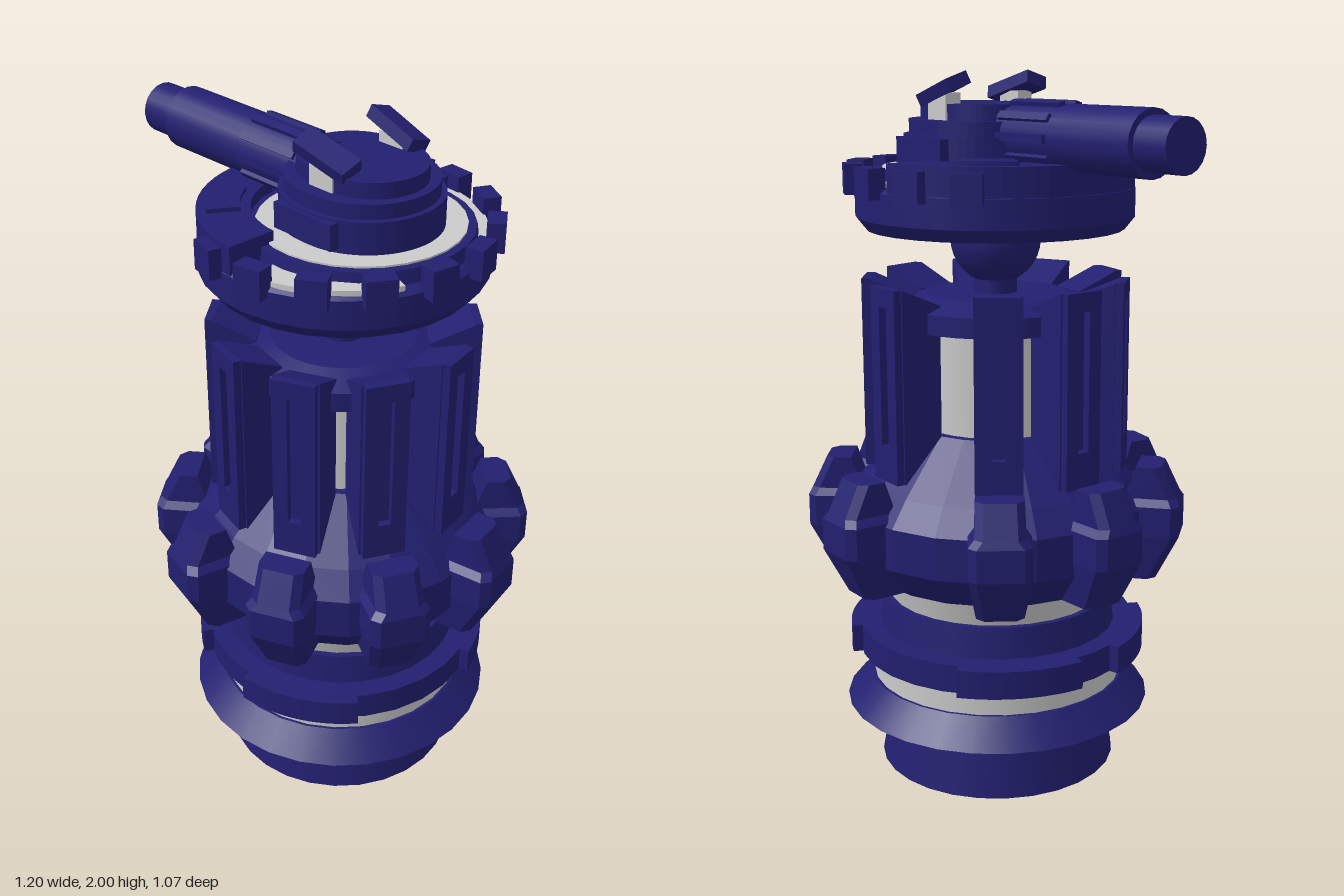
import * as THREE from 'three';

const CX = 0.065; // vertical axis of the tower
const rad = THREE.MathUtils.degToRad;
const blue = new THREE.MeshStandardMaterial({ color: 0x221f70 });
const blueFlat = new THREE.MeshStandardMaterial({ color: 0x221f70, flatShading: true });
const grey = new THREE.MeshStandardMaterial({ color: 0xcccccc });

function add(parent, name, geo, mat, x = 0, y = 0, z = 0) {
  const m = new THREE.Mesh(geo, mat);
  m.name = name;
  m.position.set(x, y, z);
  parent.add(m);
  return m;
}

// Round band from y0 to y1
function band(parent, name, r0, r1, y0, y1, mat = blue, x = 0, z = 0) {
  return add(parent, name, new THREE.CylinderGeometry(r1, r0, y1 - y0, 28), mat, x, (y0 + y1) / 2, z);
}

// Flat shape in the x/z plane raised from y0 to y1
function slab(parent, name, shape, y0, y1, mat = blueFlat) {
  const g = new THREE.ExtrudeGeometry(shape, { depth: y1 - y0, bevelEnabled: false, curveSegments: 14 });
  g.rotateX(Math.PI / 2);
  return add(parent, name, g, mat, 0, y1);
}

// Annular sector, angles in degrees from +x towards +z
function sector(parent, name, r0, r1, a0, a1, y0, y1, mat) {
  const s = new THREE.Shape();
  s.absarc(0, 0, r1, rad(a0), rad(a1), false);
  s.absarc(0, 0, r0, rad(a1), rad(a0), true);
  return slab(parent, name, s, y0, y1, mat);
}

// Group whose local +x points outward at the given angle
function spoke(parent, name, deg) {
  const g = new THREE.Group();
  g.name = name;
  g.rotation.y = -rad(deg);
  parent.add(g);
  return g;
}

// Lug: chamfered cross-sections stacked in y, [y, inner, outer, half width]
function lugGeometry() {
  const levels = [[0.59, 0.34, 0.475, 0.065], [0.72, 0.38, 0.54, 0.085], [0.81, 0.38, 0.54, 0.085],
    [0.83, 0.385, 0.53, 0.068], [0.92, 0.415, 0.487, 0.065]];
  const pos = [], idx = [], n = 6, c = 0.022;
  for (const [y, i, o, w] of levels) {
    for (const [x, z] of [[i, -w], [o - c, -w], [o, c - w], [o, w - c], [o - c, w], [i, w]]) pos.push(x, y, z);
  }
  for (let l = 0; l < levels.length - 1; l++) {
    for (let k = 0; k < n; k++) {
      const a = l * n + k, b = l * n + (k + 1) % n;
      idx.push(a, a + n, b, b, a + n, b + n);
    }
  }
  const t = (levels.length - 1) * n;
  for (let k = 1; k < n - 1; k++) idx.push(0, k, k + 1, t, t + k + 1, t + k);
  const g = new THREE.BufferGeometry();
  g.setAttribute('position', new THREE.Float32BufferAttribute(pos, 3));
  g.setIndex(idx);
  const flat = g.toNonIndexed();
  flat.computeVertexNormals();
  return flat;
}

// Fin backing: side profile given width
function finGeometry() {
  const s = new THREE.Shape([[0.23, 0.9], [0.35, 0.9], [0.35, 1.437], [0.23, 1.385]]
    .map(p => new THREE.Vector2(...p)));
  return new THREE.ExtrudeGeometry(s, { depth: 0.13, bevelEnabled: false }).translate(0, 0, -0.065);
}

// Fin face plate with a tall slot
function finPlateGeometry() {
  const rect = (w, a, b, T) => new T([[-w, a], [w, a], [w, b], [-w, b]].map(p => new THREE.Vector2(...p)));
  const s = rect(0.06, 0.9, 1.437, THREE.Shape);
  s.holes.push(rect(0.018, 1.0, 1.385, THREE.Path));
  return new THREE.ExtrudeGeometry(s, { depth: 0.022, bevelEnabled: false }).rotateY(Math.PI / 2).translate(0.35, 0, 0);
}

function capsule(half, r) {
  const s = new THREE.Shape();
  s.absarc(half, 0, r, -Math.PI / 2, Math.PI / 2, false);
  s.absarc(-half, 0, r, Math.PI / 2, Math.PI * 1.5, false);
  return s;
}

function buildBase(root) {
  const g = new THREE.Group();
  g.name = 'base';
  root.add(g);
  band(g, 'foot', 0.347, 0.312, 0, 0.19);
  band(g, 'footFlange', 0.447, 0.375, 0.19, 0.267);
  band(g, 'lowerGreyBand', 0.367, 0.367, 0.26, 0.35, grey);
  band(g, 'clampRing', 0.405, 0.405, 0.345, 0.425);
  for (const a of [-35, 68, 148, 215]) sector(g, 'clampPad', 0.38, 0.432, a, a + 48, 0.345, 0.425);
  band(g, 'waist', 0.347, 0.333, 0.42, 0.512);
  band(g, 'upperGreyBand', 0.315, 0.34, 0.512, 0.6, grey);
}

function buildColumn(root) {
  const g = new THREE.Group();
  g.name = 'column';
  root.add(g);
  const profile = [[0, 0.59], [0.37, 0.59], [0.44, 0.68], [0.44, 0.8], [0.385, 0.87], [0.24, 1.02], [0, 1.02]];
  add(g, 'lugRing', new THREE.LatheGeometry(profile.map(p => new THREE.Vector2(...p)), 20), blueFlat);
  band(g, 'greyCore', 0.215, 0.215, 1.0, 1.33, grey);
  band(g, 'collar', 0.28, 0.28, 1.31, 1.365);
  band(g, 'collarTop', 0.28, 0.2, 1.365, 1.395);
  band(g, 'neck', 0.06, 0.06, 1.38, 1.5);
  add(g, 'ballJoint', new THREE.SphereGeometry(0.127, 24, 16), blue, 0, 1.545);
  const lug = lugGeometry(), fin = finGeometry(), plate = finPlateGeometry();
  // Nine stations with a wider gap at the rear
  for (let i = 0; i < 9; i++) {
    const s = spoke(g, 'station', -57 + 38 * i);
    add(s, 'lug', lug, blueFlat);
    add(s, 'fin', fin, blueFlat);
    add(s, 'finPlate', plate, blueFlat);
  }
}

function buildHead(root) {
  const g = new THREE.Group();
  g.name = 'head';
  root.add(g);
  band(g, 'bowlBottom', 0.36, 0.388, 1.575, 1.61);
  band(g, 'bowl', 0.388, 0.388, 1.61, 1.69);
  band(g, 'deck', 0.388, 0.373, 1.69, 1.7);
  // Rim teeth on the open side
  for (let i = 0; i < 11; i++) {
    const s = spoke(g, 'rimTooth', -102 + 23.5 * i);
    add(s, 'tooth', new THREE.BoxGeometry(0.05, 0.082, 0.08), blueFlat, 0.393, 1.715, 0);
  }
  // Raised armour on the gun side with two inset panels
  sector(g, 'raisedDeck', 0.243, 0.385, 122, 295, 1.68, 1.77);
  for (const a of [168, 252]) sector(g, 'deckPanel', 0.27, 0.36, a - 14, a + 14, 1.76, 1.782);
  // Light crescents, cut on the inside by the off-centre ring
  sector(g, 'rightCrescent', 0.24, 0.375, -55, 4, 1.69, 1.712, grey);
  sector(g, 'frontCrescent', 0.27, 0.375, 52, 112, 1.69, 1.712, grey);
  band(g, 'innerRing', 0.305, 0.298, 1.69, 1.738, blue, 0.05, 0.02);
  band(g, 'greyDisc', 0.275, 0.275, 1.72, 1.743, grey, 0.05, 0.02);
}

function buildTurret(root) {
  const g = spoke(root, 'turret', 209.5);
  g.position.set(0.05, 0, 0.018);
  slab(g, 'turretBody', capsule(0.015, 0.205), 1.74, 1.83);
  slab(g, 'turretStep', capsule(0.015, 0.19), 1.83, 1.87);
  slab(g, 'turretCap', capsule(0.035, 0.145), 1.87, 1.913);
  for (const s of [1, -1]) {
    // Sloped cover over a light block on each flank
    add(g, 'flankBlock', new THREE.BoxGeometry(0.08, 0.085, 0.05), grey, 0, 1.9, s * 0.125);
    const cover = add(g, 'flankCover', new THREE.BoxGeometry(0.165, 0.035, 0.07), blueFlat, 0, 1.951, s * 0.128);
    cover.rotation.set(s * 0.3, 0, 0.3);
    add(g, 'shoulder', new THREE.BoxGeometry(0.2, 0.07, 0.05), blueFlat, 0, 1.79, s * 0.19);
  }
  // Gun pointing along local +x
  const gun = new THREE.Group();
  gun.name = 'gun';
  gun.position.set(0, 1.833, -0.003);
  g.add(gun);
  const tube = (name, r, x0, x1) =>
    add(gun, name, new THREE.CylinderGeometry(r, r, x1 - x0, 20).rotateZ(Math.PI / 2), blue, (x0 + x1) / 2);
  tube('barrelSleeve', 0.087, 0.1, 0.675);
  tube('muzzle', 0.07, 0.66, 0.785);
  for (let i = 0; i < 10; i++) {
    const a = i / 10 * Math.PI * 2;
    add(gun, 'barrelRib', new THREE.BoxGeometry(0.2, 0.025, 0.022), blueFlat,
      0.27, Math.sin(a) * 0.084, Math.cos(a) * 0.084).rotation.x = Math.PI / 2 - a;
  }
}

export function createModel() {
  const model = new THREE.Group();
  model.name = 'turretTower';
  const tower = new THREE.Group();
  tower.name = 'tower';
  tower.position.x = CX;
  model.add(tower);
  buildBase(tower);
  buildColumn(tower);
  buildHead(tower);
  buildTurret(tower);
  return model;
}
